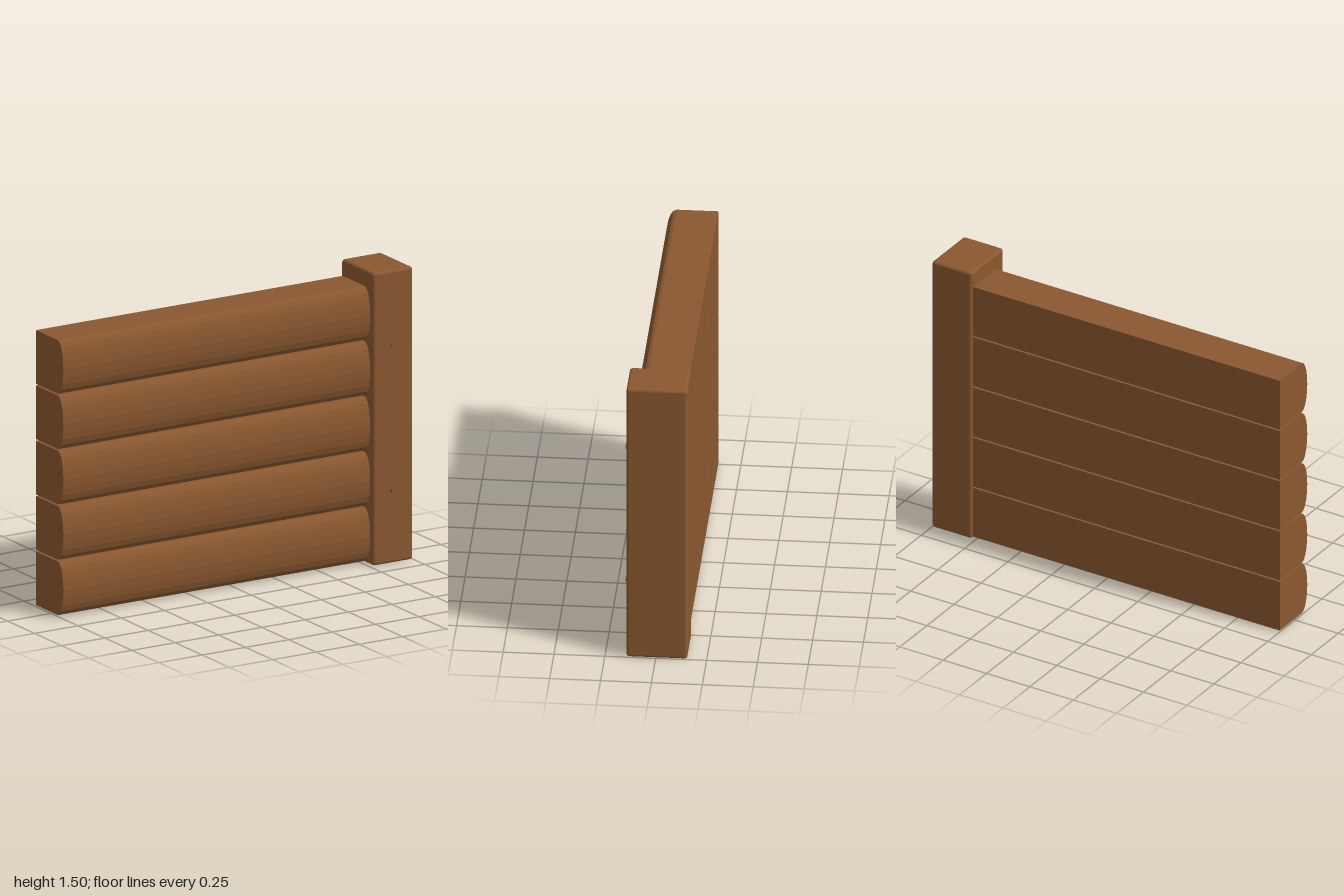
import * as THREE from 'three';
import { RoundedBoxGeometry } from 'three/addons/geometries/RoundedBoxGeometry.js';

const LOGS = 5, PITCH = 0.2825, HEIGHT = 0.274;
const BACK = -0.14, SHOULDER = 0.065, BULGE = 0.05;

// Log section: flat back, top and bottom, with a faceted rounded front
function logGeometry(length) {
  const shape = new THREE.Shape();
  const h = HEIGHT / 2, sides = 10;
  shape.moveTo(BACK, h);
  shape.lineTo(BACK, -h);
  for (let i = 0; i <= sides; i++) {
    const a = -Math.PI / 2 + (i / sides) * Math.PI;
    shape.lineTo(SHOULDER + BULGE * Math.cos(a), h * Math.sin(a));
  }
  shape.closePath();
  const geometry = new THREE.ExtrudeGeometry(shape, { depth: length, bevelEnabled: false });
  return geometry.rotateY(-Math.PI / 2); // runs from x = 0 towards -x
}

export function createModel() {
  const model = new THREE.Group();
  model.name = 'logFence';
  const wood = new THREE.MeshStandardMaterial({ color: 0x8a5830 });
  wood.name = 'brown wood';

  const add = (name, geometry, x, y, z) => {
    const mesh = new THREE.Mesh(geometry, wood);
    mesh.name = name;
    mesh.position.set(x, y, z);
    model.add(mesh);
    return mesh;
  };

  // Stacked half-round logs, set slightly into the post
  const log = logGeometry(1.78);
  for (let i = 0; i < LOGS; i++) {
    add(`log${i + 1}`, log, 0.78, 0.008 + HEIGHT / 2 + i * PITCH, 0);
  }

  // End post with softened edges
  add('post', new RoundedBoxGeometry(0.23, 1.495, 0.3, 3, 0.015), 0.885, 0.7475, -0.005);

  // Pegs on the post front
  const peg = new THREE.CylinderGeometry(0.014, 0.014, 0.03, 12).rotateX(Math.PI / 2);
  for (const y of [0.372, 1.114]) add('peg', peg, 0.882, y, 0.142);

  return model;
}
